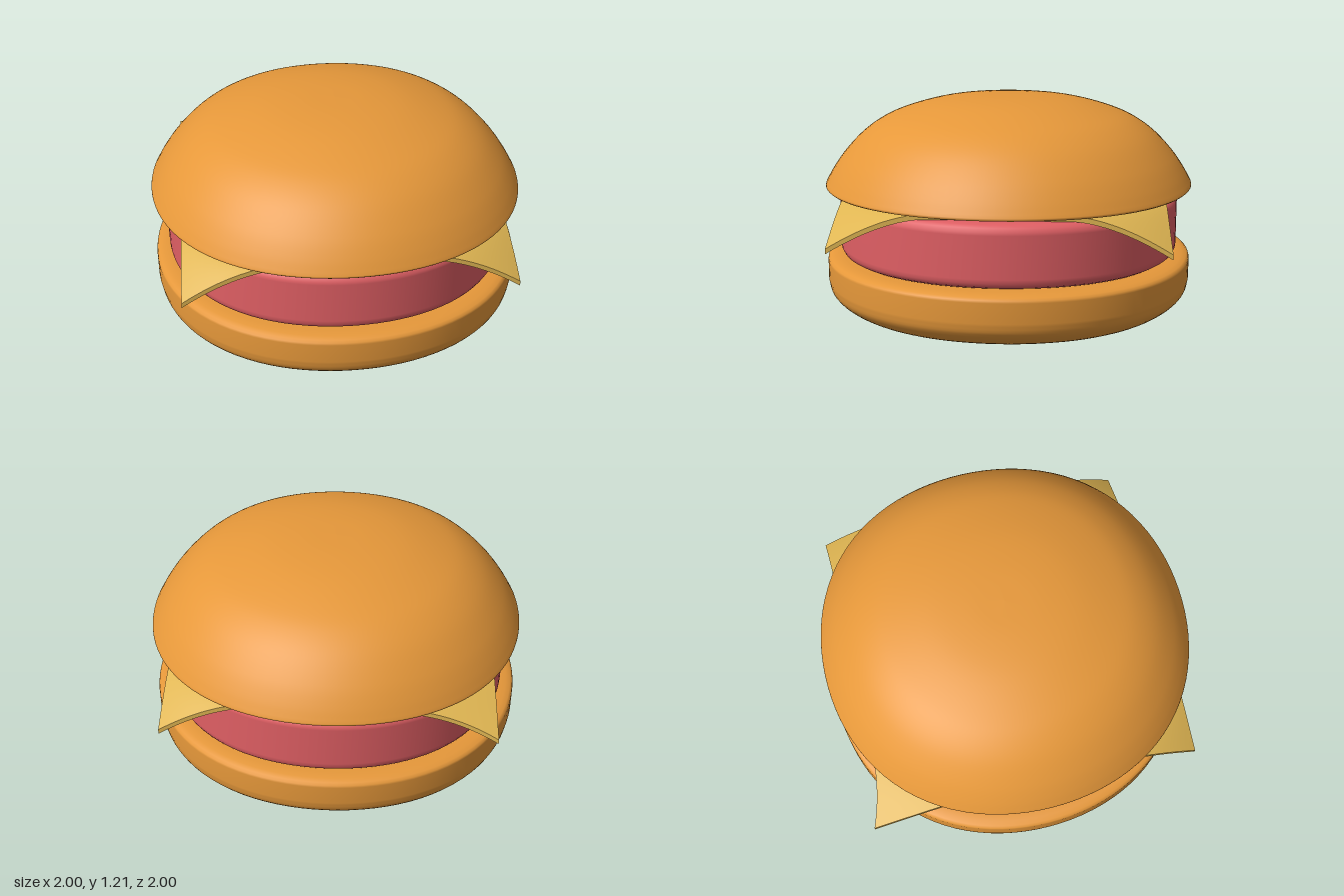
import * as THREE from 'three';

const material = (color) => new THREE.MeshStandardMaterial({ color });

// A sampled smooth curve through [radius, height] points.
function smooth(points, count = 24) {
  const curve = new THREE.CatmullRomCurve3(points.map(([r, y]) => new THREE.Vector3(r, y, 0)), false, 'centripetal');
  return curve.getPoints(count).map((p) => new THREE.Vector2(Math.max(0, p.x), p.y));
}

const line = (points) => points.map(([r, y]) => new THREE.Vector2(r, y));

// Lathed layer, slightly fuller on the diagonals.
function layer(name, profile, mat) {
  const geometry = new THREE.LatheGeometry(profile, 96);
  const pos = geometry.attributes.position;
  for (let i = 0; i < pos.count; i++) {
    const x = pos.getX(i), z = pos.getZ(i);
    const k = 1 + 0.022 * Math.sin(2 * Math.atan2(z, x)) ** 2;
    pos.setXYZ(i, x * k, pos.getY(i), z * k);
  }
  const mesh = new THREE.Mesh(geometry, mat);
  mesh.name = name;
  return mesh;
}

// Thin square slice whose corners droop over the patty.
function cheeseSlice(mat) {
  const half = 0.84;
  const geometry = new THREE.BoxGeometry(2 * half, 0.026, 2 * half, 48, 1, 48);
  const pos = geometry.attributes.position;
  for (let i = 0; i < pos.count; i++) {
    let x = pos.getX(i), y = pos.getY(i) + 0.718, z = pos.getZ(i);
    const t = Math.max(0, (Math.hypot(x, z) - 0.92) / (half * Math.SQRT2 - 0.92));
    const lifted = x < 0 && z < 0; // the one corner that sticks out
    y -= (lifted ? 0.1 : 0.18) * t ** 1.4;
    x *= 1 + 0.014 * t;
    z *= 1 + (lifted ? 0.1 : 0.016) * t * t;
    pos.setXYZ(i, x, y, z);
  }
  geometry.computeVertexNormals();
  const mesh = new THREE.Mesh(geometry, mat);
  mesh.name = 'cheeseSlice';
  return mesh;
}

export function createModel() {
  const group = new THREE.Group();
  group.name = 'burger';
  const bun = material(0xe6983a);

  // Bottom bun: shallow bowl below, soft shoulder and flat top
  group.add(layer('bottomBun', [
    ...smooth([[0, 0.005], [0.3, 0.008], [0.6, 0.025], [0.8, 0.06], [0.92, 0.11], [0.985, 0.17], [1, 0.23]]),
    ...line([[1, 0.335], [0.997, 0.347], [0.985, 0.357], [0.96, 0.365], [0.92, 0.37], [0.8, 0.371], [0, 0.371]]),
  ], bun));

  // Patty: thick disc with rounded rims
  group.add(layer('patty', line([
    [0, 0.37], [0.8, 0.37], [0.86, 0.372], [0.895, 0.378], [0.915, 0.39], [0.925, 0.41], [0.926, 0.43],
    [0.926, 0.65], [0.925, 0.665], [0.915, 0.685], [0.895, 0.697], [0.86, 0.703], [0.8, 0.705], [0, 0.705],
  ]), material(0xe05f64)));

  group.add(cheeseSlice(material(0xdfb552)));

  // Top bun: flat underside, thin rim and domed crown
  group.add(layer('topBun', [
    ...line([[0, 0.733], [0.9, 0.733], [0.97, 0.735], [0.993, 0.739], [1, 0.745]]),
    ...smooth([[0.998, 0.753], [0.96, 0.82], [0.9, 0.905], [0.8, 1.01], [0.7, 1.08], [0.6, 1.125],
      [0.4, 1.182], [0.2, 1.208], [0, 1.214]], 36),
  ], bun));

  return group;
}
